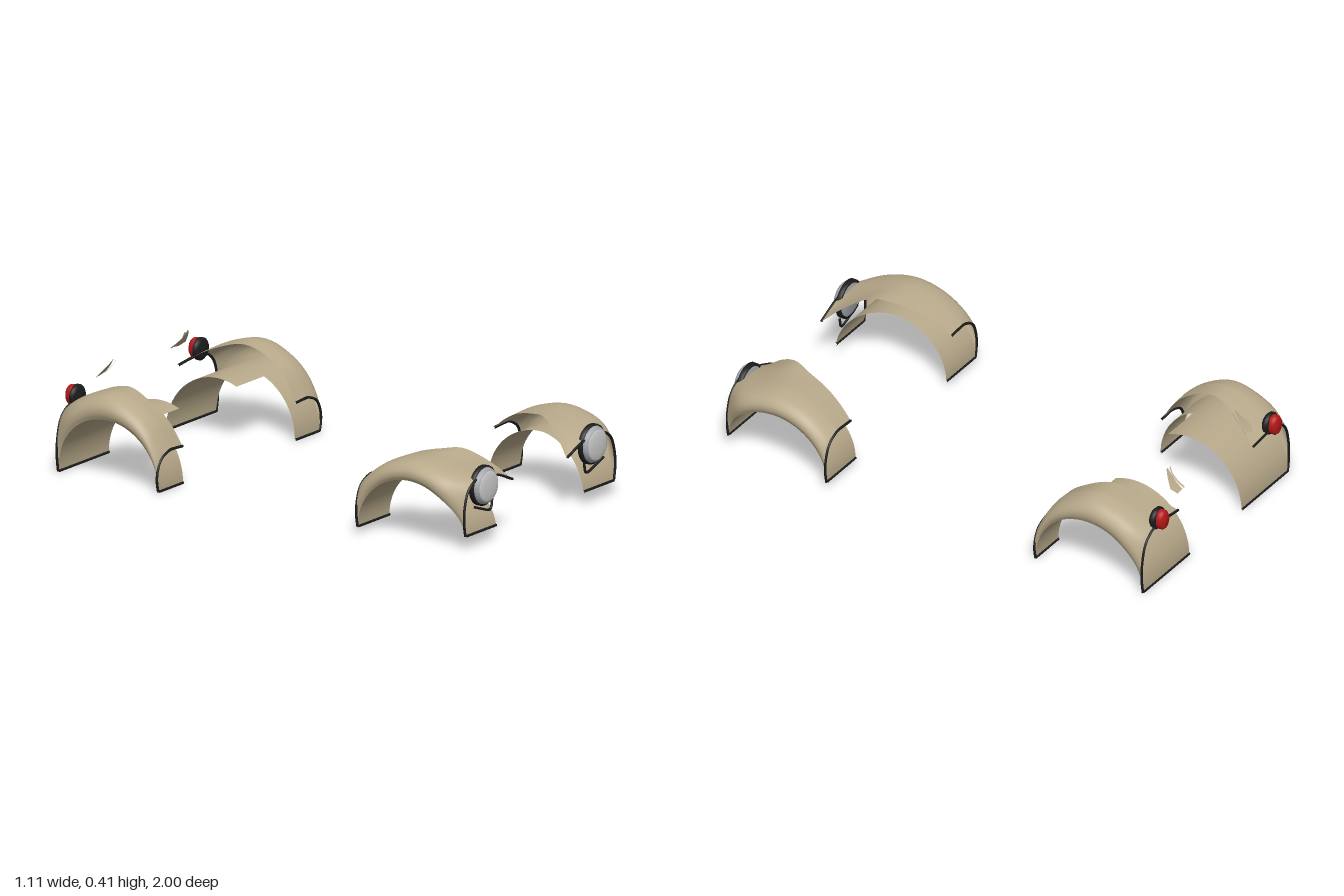
import * as THREE from 'three';

const mat = (name, color, side = THREE.FrontSide) => {
  const m = new THREE.MeshStandardMaterial({ color, side });
  m.name = name;
  return m;
};

// Smooth lookup of several values along z from a few ascending stations [z, ...values]
function stations(rows) {
  const size = rows[0].length - 1;
  const f = new THREE.CubicInterpolant(rows.map(r => r[0]), rows.flatMap(r => r.slice(1)), size, new Float32Array(size));
  return z => Array.from(f.evaluate(z));
}

// Surface through rows of points
function sheet(rows, flip) {
  const n = rows[0].length, index = [];
  for (let i = 0; i < rows.length - 1; i++) for (let j = 0; j < n - 1; j++) {
    const a = i * n + j, b = a + 1, c = a + n, d = c + 1;
    index.push(...(flip ? [a, b, c, b, d, c] : [a, c, b, b, c, d]));
  }
  const g = new THREE.BufferGeometry();
  g.setAttribute('position', new THREE.Float32BufferAttribute(rows.flat().flatMap(p => [p.x, p.y, p.z]), 3));
  g.setIndex(index);
  g.computeVertexNormals();
  return g;
}

// z samples, denser towards both ends
const span = (z0, z1, n = 36) => Array.from({ length: n + 1 }, (_, i) =>
  (z0 + z1) / 2 - (z1 - z0) / 2 * Math.cos(Math.PI * i / n));

// Stations: z, inner x, inner y, outer x, top y
const FRONT = {
  z0: 0.49, z1: 0.975,
  arch: z => 0.03 + 0.226 * Math.sqrt(Math.max(0, 1 - ((z - 0.7335) / 0.2435) ** 2)),
  shell: stations([
    [0.49, 0.365, 0.22, 0.55, 0.225], [0.55, 0.348, 0.267, 0.55, 0.272],
    [0.62, 0.33, 0.305, 0.55, 0.31], [0.73, 0.3, 0.332, 0.55, 0.335],
    [0.8, 0.27, 0.338, 0.55, 0.328], [0.9, 0.22, 0.285, 0.542, 0.3],
    [0.975, 0.18, 0.22, 0.502, 0.275]]),
  liners: [[0.49, 0.975, z => 0.33 - 0.04 * Math.max(0, (z - 0.75) / 0.225)]],
};
const REAR = {
  z0: -0.965, z1: -0.475,
  arch: z => 0.006 + 0.253 * Math.sqrt(Math.max(0, 1 - ((z + 0.72) / 0.245) ** 2)),
  shell: stations([
    [-0.965, 0.27, 0.25, 0.535, 0.262], [-0.9, 0.305, 0.295, 0.55, 0.302],
    [-0.82, 0.345, 0.332, 0.553, 0.337], [-0.72, 0.375, 0.352, 0.555, 0.355],
    [-0.62, 0.39, 0.315, 0.553, 0.32], [-0.53, 0.385, 0.245, 0.549, 0.25],
    [-0.475, 0.375, 0.155, 0.545, 0.16]]),
  liners: [[-0.965, -0.625, () => 0.19], [-0.625, -0.475, () => 0.372]],
};

export function createModel() {
  const paint = mat('tan paint', 0xb8a98a, THREE.DoubleSide);
  const trim = mat('black rubber', 0x1c1c1c);
  const chrome = mat('grey rim', 0xa4a8ac);
  const glass = mat('pale lens', 0xcccccc);
  const red = mat('red lens', 0xb81818);
  const model = new THREE.Group();

  const add = (parent, name, geo, material) => {
    const m = new THREE.Mesh(geo, material);
    m.name = name;
    parent.add(m);
    return m;
  };
  const piping = (parent, pts, r = 0.0055) =>
    add(parent, 'edgePiping', new THREE.TubeGeometry(new THREE.CatmullRomCurve3(pts, false, 'centripetal'), 48, r, 6), trim);
  // Turned part whose axis points along z; profile is [radius, depth]
  const turned = (parent, name, profile, material, dir = 1) => {
    const g = new THREE.LatheGeometry(profile.map(p => new THREE.Vector2(...p)), 36);
    g.rotateX(dir * Math.PI / 2);
    return add(parent, name, g, material);
  };

  for (const s of [1, -1]) {
    const P = (x, y, z) => new THREE.Vector3(s * x, y, z);

    // Fenders: rounded outer shell over an arched wheel liner
    const fender = (name, d) => {
      const g = new THREE.Group();
      g.name = name;
      model.add(g);
      const profile = z => {
        const [xi, yi, xo, yt] = d.shell(z), ya = d.arch(z), h = yt - ya;
        return new THREE.CatmullRomCurve3([
          P(xi, yi, z), P(xi + (xo - xi) * 0.35, yt - (yt - yi) * 0.2, z), P(xo - 0.085, yt - h * 0.01, z),
          P(xo - 0.028, yt - h * 0.17, z), P(xo - 0.002, yt - h * 0.5, z), P(xo, ya + h * 0.22, z),
          P(xo - 0.008, ya, z),
        ], false, 'centripetal').getPoints(28);
      };
      add(g, 'fenderShell', sheet(span(d.z0, d.z1).map(profile), s < 0), paint);
      for (const [a, b, inner] of d.liners) {
        const row = z => [P(inner(z), d.arch(z), z), P(d.shell(z)[2] - 0.008, d.arch(z), z)];
        add(g, 'wheelLiner', sheet(span(a, b).map(row), s < 0), paint);
        for (const z of [a, b]) if (z === d.z0 || z === d.z1) piping(g, row(z));
      }
      piping(g, profile(d.z0));
      piping(g, profile(d.z1));
      return g;
    };
    const front = fender('frontFender', FRONT);
    const rear = fender('rearFender', REAR);

    // Headlight with rubber ring, rim and lens
    const lamp = new THREE.Group();
    lamp.name = 'headlight';
    lamp.position.set(s * 0.362, 0.235, 0);
    front.add(lamp);
    turned(lamp, 'headlightRing', [[0.07, 0.952], [0.081, 0.955], [0.081, 0.972], [0.07, 0.976]], trim);
    turned(lamp, 'headlightRim', [[0, 0.954], [0.07, 0.954], [0.074, 0.974], [0.071, 0.984], [0.063, 0.992], [0.06, 0.992]], chrome);
    turned(lamp, 'headlightLens', [[0.063, 0.991], [0.055, 0.996], [0.03, 0.999], [0, 1]], glass);
    piping(front, [P(0.435, 0.165, 0.968), P(0.38, 0.145, 0.968), P(0.318, 0.13, 0.968), P(0.305, 0.175, 0.968)]);

    // Tail light: dark base and upright oval lens
    const tail = new THREE.Group();
    tail.name = 'tailLight';
    tail.position.set(s * 0.41, 0.287, 0);
    rear.add(tail);
    turned(tail, 'tailLightBase', [[0, 0.938], [0.036, 0.942], [0.046, 0.952], [0.046, 0.964], [0.036, 0.97], [0, 0.97]], trim, -1);
    turned(tail, 'tailLightLens', [[0.04, 0.966], [0.043, 0.974], [0.042, 0.988], [0.034, 0.997], [0, 1]], red, -1).scale.x = 0.75;

    // Small curved trim strips above the inner rear corner
    const strip = (name, rows) => add(rear, name, sheet(rows.map(([x0, x1, y, z]) => [P(x0, y, z), P(x1, y - 0.004, z)]), s < 0), paint);
    strip('trimBracket', [[0.245, 0.253, 0.41, -0.9], [0.242, 0.268, 0.385, -0.915], [0.24, 0.288, 0.352, -0.94], [0.24, 0.275, 0.332, -0.965]]);
    strip('trimSliver', [[0.226, 0.232, 0.408, -0.9], [0.23, 0.236, 0.38, -0.915], [0.23, 0.236, 0.355, -0.94], [0.222, 0.229, 0.333, -0.965]]);
  }
  return model;
}
